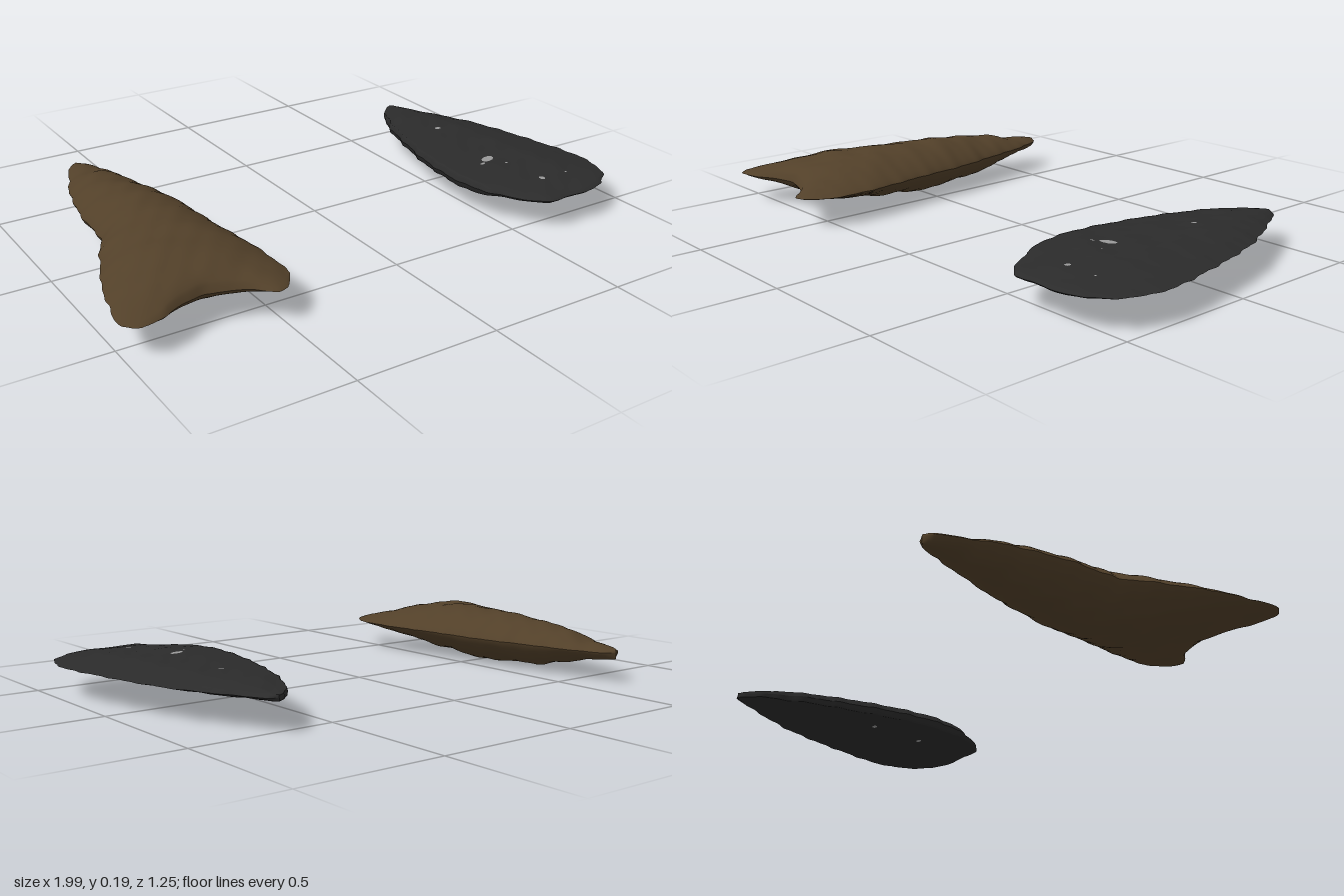
import * as THREE from 'three';

// Linear lookup in a short list of [position, value] pairs
function lookup(keys, v) {
  if (v <= keys[0][0]) return keys[0][1];
  for (let i = 1; i < keys.length; i++) {
    const [a, p] = keys[i - 1], [b, q] = keys[i];
    if (v <= b) return p + (q - p) * (v - a) / (b - a);
  }
  return keys[keys.length - 1][1];
}

// Shallow flake scars
const lumps = (x, z) =>
  0.45 * Math.sin(23 * x + 9 * z + 2 * Math.sin(14 * z)) + 0.35 * Math.sin(41 * z - 17 * x + 1) + 0.2 * Math.sin(70 * x + 53 * z);
const ripple = (z) => 0.6 * Math.sin(47 * z) + 0.4 * Math.sin(89 * z + 1.3);

const brownPoint = {
  tip: -0.63, edgeY: 0.11, bump: 0.005, chip: 0.004,
  left: [[-0.63, -0.65], [-0.62, -0.675], [-0.6, -0.69], [-0.5, -0.73], [-0.4, -0.77], [-0.3, -0.79], [-0.2, -0.81],
    [0, -0.82], [0.1, -0.87], [0.2, -0.91], [0.3, -0.95], [0.4, -0.975], [0.5, -0.997]],
  right: [[-0.63, -0.65], [-0.62, -0.625], [-0.6, -0.607], [-0.5, -0.57], [-0.4, -0.545], [-0.3, -0.525], [-0.2, -0.5],
    [-0.1, -0.48], [0.1, -0.46], [0.3, -0.43], [0.4, -0.422], [0.54, -0.425], [0.62, -0.44]],
  base: [[0, 0.55], [0.04, 0.58], [0.08, 0.59], [0.22, 0.57], [0.34, 0.53], [0.5, 0.51], [0.62, 0.53], [0.72, 0.55],
    [0.79, 0.59], [0.86, 0.62], [0.93, 0.6], [1, 0.53]],
  top: [[-0.63, 0.12], [-0.5, 0.138], [-0.4, 0.158], [-0.3, 0.17], [-0.1, 0.193], [0.1, 0.197], [0.3, 0.193], [0.5, 0.16], [0.6, 0.135]],
  bottom: [[-0.63, 0.085], [-0.5, 0.068], [-0.4, 0.045], [-0.3, 0.022], [0, 0.006], [0.2, 0.02], [0.4, 0.05], [0.5, 0.07], [0.6, 0.09]],
  cross: (t) => Math.pow(Math.max(0, 4 * t * (1 - t)), 0.8),
};

const blackPoint = {
  tip: -0.51, edgeY: 0.109, bump: 0.002, chip: 0.005,
  left: [[-0.51, 0.7], [-0.5, 0.675], [-0.45, 0.63], [-0.4, 0.6], [-0.3, 0.555], [-0.2, 0.525], [-0.1, 0.5], [0, 0.475],
    [0.1, 0.46], [0.2, 0.45], [0.3, 0.455], [0.4, 0.48]],
  right: [[-0.51, 0.7], [-0.5, 0.73], [-0.45, 0.757], [-0.4, 0.785], [-0.3, 0.835], [-0.2, 0.88], [-0.1, 0.91], [0, 0.935],
    [0.1, 0.955], [0.2, 0.975], [0.3, 0.99], [0.4, 0.98]],
  base: [[0, 0.4], [0.12, 0.5], [0.25, 0.57], [0.45, 0.565], [0.62, 0.57], [0.8, 0.54], [0.93, 0.48], [1, 0.4]],
  top: [[-0.51, 0.12], [-0.35, 0.132], [-0.1, 0.138], [0.3, 0.138], [0.5, 0.125]],
  bottom: [[-0.51, 0.098], [-0.35, 0.085], [-0.1, 0.079], [0.3, 0.079], [0.5, 0.09]],
  cross: (t) => lookup([[0, 0], [0.02, 0.75], [0.3, 1], [0.65, 0.95], [0.85, 0.5], [1, 0]], t),
};

// Height of one face; s runs tip to base, t runs left edge to right edge
function faceY(p, x, z, s, t, up) {
  const thin = s > 0.9 ? Math.sqrt(Math.max(0, 1 - ((s - 0.9) / 0.1) ** 2)) : 1;
  const rise = lookup(up ? p.top : p.bottom, z) - p.edgeY;
  return p.edgeY + (rise + p.bump * lumps(x, up ? z : z + 3)) * p.cross(t) * thin;
}

// One smooth face of a stone point
function faceGeometry(p, up) {
  const rows = 110, cols = 44, pos = [], index = [];
  for (let i = 0; i <= rows; i++) {
    for (let j = 0; j <= cols; j++) {
      const s = i / rows, t = (1 - Math.cos(Math.PI * j / cols)) / 2;
      const z = p.tip + s * (lookup(p.base, t) - p.tip);
      const l = lookup(p.left, z), r = lookup(p.right, z);
      const chip = p.chip * Math.min(1, s * 12);
      const x = l + (r - l) * t + chip * (ripple(z) * (1 - t) + ripple(z + 1.7) * t);
      const endChip = 0.5 * chip * ripple(x * 1.3) * s ** 8;
      pos.push(x, faceY(p, x, z, s, t, up), z + endChip);
      if (i < rows && j < cols) {
        const a = i * (cols + 1) + j, b = a + cols + 1;
        if (up) index.push(a, b, a + 1, a + 1, b, b + 1);
        else index.push(a, a + 1, b, a + 1, b + 1, b);
      }
    }
  }
  const g = new THREE.BufferGeometry();
  g.setAttribute('position', new THREE.Float32BufferAttribute(pos, 3));
  g.setIndex(index);
  g.computeVertexNormals();
  return g;
}

function stonePoint(name, p, material) {
  const group = new THREE.Group();
  group.name = name;
  for (const up of [true, false]) {
    const face = new THREE.Mesh(faceGeometry(p, up), material);
    face.name = up ? 'upperFace' : 'lowerFace';
    group.add(face);
  }
  return group;
}

// Thin pale fleck following the face of a point
function fleck(p, [x, z, rx, rz, turn, up], material) {
  const g = new THREE.CircleGeometry(1, 9);
  g.scale(rx, rz, 1).rotateZ(turn).rotateX(up ? -Math.PI / 2 : Math.PI / 2);
  g.translate(x, 0, z);
  const a = g.attributes.position;
  for (let i = 0; i < a.count; i++) {
    const px = a.getX(i), pz = a.getZ(i);
    const l = lookup(p.left, pz), t = (px - l) / (lookup(p.right, pz) - l);
    const s = (pz - p.tip) / (lookup(p.base, t) - p.tip);
    a.setY(i, faceY(p, px, pz, s, t, up) + (up ? 0.0015 : -0.0015));
  }
  g.computeVertexNormals();
  const mesh = new THREE.Mesh(g, material);
  mesh.name = 'fleck';
  return mesh;
}

export function createModel() {
  const brown = new THREE.MeshStandardMaterial({ color: 0x524029 });
  brown.name = 'brown stone';
  const black = new THREE.MeshStandardMaterial({ color: 0x2b2b2b });
  black.name = 'black stone';
  const pale = new THREE.MeshStandardMaterial({ color: 0x999999 });
  pale.name = 'pale grey';

  const model = new THREE.Group();
  model.name = 'stonePoints';
  const dark = stonePoint('leafPoint', blackPoint, black);
  model.add(stonePoint('barbedPoint', brownPoint, brown), dark);

  // Flecks: x, z, radii, turn, upper face or lower
  const flecks = [
    [0.672, -0.15, 0.012, 0.01, 0, true], [0.63, 0.2, 0.032, 0.018, 0.4, true], [0.585, 0.228, 0.012, 0.006, 0.3, true],
    [0.69, 0.43, 0.011, 0.013, 0, true], [0.665, 0.265, 0.005, 0.005, 0, true], [0.805, 0.43, 0.004, 0.006, 0, true],
    [0.6, 0.26, 0.012, 0.009, 0, false], [0.585, 0.035, 0.012, 0.009, 0, false],
  ];
  for (const f of flecks) dark.add(fleck(blackPoint, f, pale));
  return model;
}
